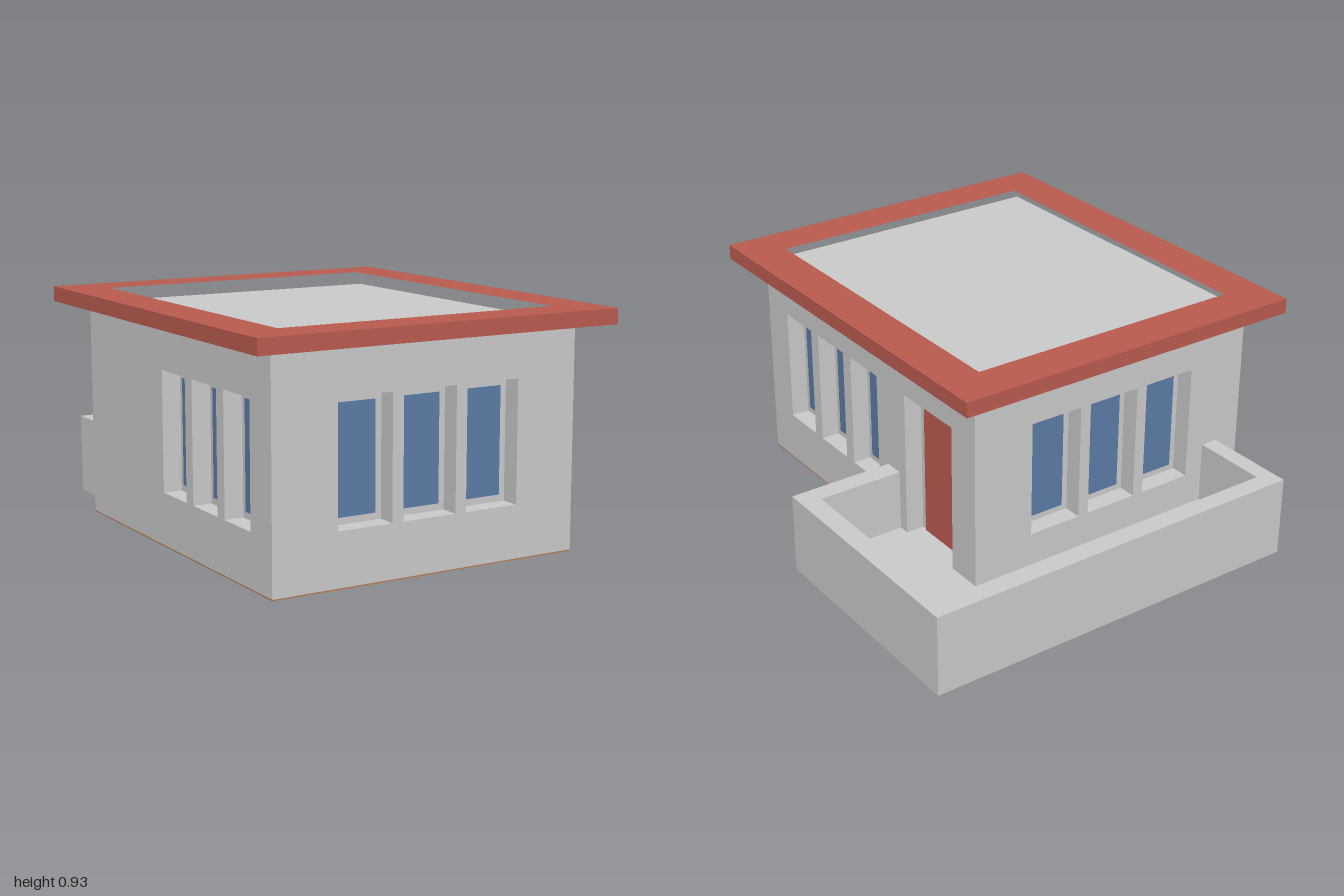
import * as THREE from 'three';

const mat = (name, color) => Object.assign(new THREE.MeshStandardMaterial({ color }), { name });

// House extents and shared sizes
const X0 = -0.8, X1 = 0.48, Z0 = -0.61, Z1 = 0.89;
const BASE = 0.005, EAVES = 0.865, ROOF = 0.925;
const RECESS = 0.075, PANE = 0.005, PATIO_FLOOR = 0.075, PATIO_TOP = 0.325;

const polygon = (pts) => new THREE.Shape(pts.map(([x, y]) => new THREE.Vector2(x, y)));
const rect = (x0, y0, x1, y1) => polygon([[x0, y0], [x1, y0], [x1, y1], [x0, y1]]);
const extrude = (shape, depth) => new THREE.ExtrudeGeometry(shape, { depth, bevelEnabled: false });

export function createModel() {
  const wall = mat('wallGrey', 0xc8c8c8);
  const red = mat('roofRed', 0xb85a4e);
  const blue = mat('glassBlue', 0x5a7aa3);
  const brown = mat('floorBrown', 0xb57a53);
  const model = new THREE.Group();
  model.name = 'house';

  const add = (parent, name, geometry, material) => {
    const mesh = new THREE.Mesh(geometry, material);
    mesh.name = name;
    parent.add(mesh);
    return mesh;
  };
  const box = (parent, name, material, x0, x1, y0, y1, z0, z1) =>
    add(parent, name, new THREE.BoxGeometry(x1 - x0, y1 - y0, z1 - z0), material)
      .position.set((x0 + x1) / 2, (y0 + y1) / 2, (z0 + z1) / 2);
  // Plan outline in (x, z), raised from y0 to y1
  const plan = (name, material, pts, y0, y1, hole) => {
    const shape = polygon(pts.map(([x, z]) => [x, -z]));
    if (hole) shape.holes.push(polygon(hole.map(([x, z]) => [x, -z])));
    const geometry = extrude(shape, y1 - y0).rotateX(-Math.PI / 2).translate(0, y0, 0);
    add(model, name, geometry, material);
  };
  const corners = (x0, x1, z0, z1) => [[x0, z0], [x1, z0], [x1, z1], [x0, z1]];

  // Ground floor and solid core whose top is the roof deck
  box(model, 'floor', brown, X0, X1, 0, BASE, Z0, Z1);
  box(model, 'houseCore', wall, X0 + RECESS, X1 - RECESS, BASE, EAVES, Z0 + RECESS, Z1 - RECESS);

  // Outer wall with recessed openings; each opening is {u0, u1, y0, y1} along the wall
  const facade = (name, angle, dist, u0, u1, openings) => {
    const group = new THREE.Group();
    group.name = name;
    group.rotation.y = angle;
    const shape = rect(u0, BASE, u1, EAVES);
    const back = dist - RECESS;
    for (const o of openings) {
      shape.holes.push(rect(o.u0, o.y0, o.u1, o.y1));
      const m = 0.027;
      if (o.door) box(group, 'door', red, o.u0 + m, o.u1 - m, o.y0, o.y1 - m, back, back + PANE);
      else box(group, 'windowPane', blue, o.u0 + m, o.u1 - m, o.y0 + m, o.y1 - 0.033, back, back + PANE);
    }
    add(group, 'wall', extrude(shape, RECESS).translate(0, 0, back), wall);
    model.add(group);
  };
  // Row of three windows from a start, with given width and spacing
  const windows = (start, width, step) => [0, 1, 2].map((i) => ({
    u0: start + i * step, u1: start + i * step + width, y0: 0.21, y1: 0.68,
  }));
  const door = { u0: 0.145, u1: 0.46, y0: PATIO_FLOOR, y1: 0.68, door: true };
  facade('frontWall', 0, Z1, X0, X1, windows(-0.54, 0.224, 0.27));
  facade('backWall', Math.PI, -Z0, -X1, -X0, windows(-0.224, 0.224, 0.27));
  facade('leftWall', Math.PI / 2, X1, -Z1, -Z0, [...windows(-0.738, 0.193, 0.248), door]);
  facade('rightWall', -Math.PI / 2, -X0, Z0, Z1, windows(0.049, 0.193, 0.248));

  // Overhanging roof rim around the sunken deck
  plan('roofRim', red, corners(-0.91, 0.59, -0.72, 1), EAVES, ROOF, corners(-0.74, 0.42, -0.55, 0.83));

  // Patio wrapping the back corner
  plan('patioWall', wall, [
    [X1, -0.02], [0.91, -0.02], [0.91, -1], [-0.69, -1], [-0.69, Z0],
    [-0.62, Z0], [-0.62, -0.925], [0.83, -0.925], [0.83, -0.1], [X1, -0.1],
  ], 0, PATIO_TOP);
  plan('patioFloor', wall, [
    [X1, -0.1], [0.83, -0.1], [0.83, -0.925], [-0.62, -0.925], [-0.62, Z0], [X1, Z0],
  ], 0, PATIO_FLOOR);

  return model;
}
